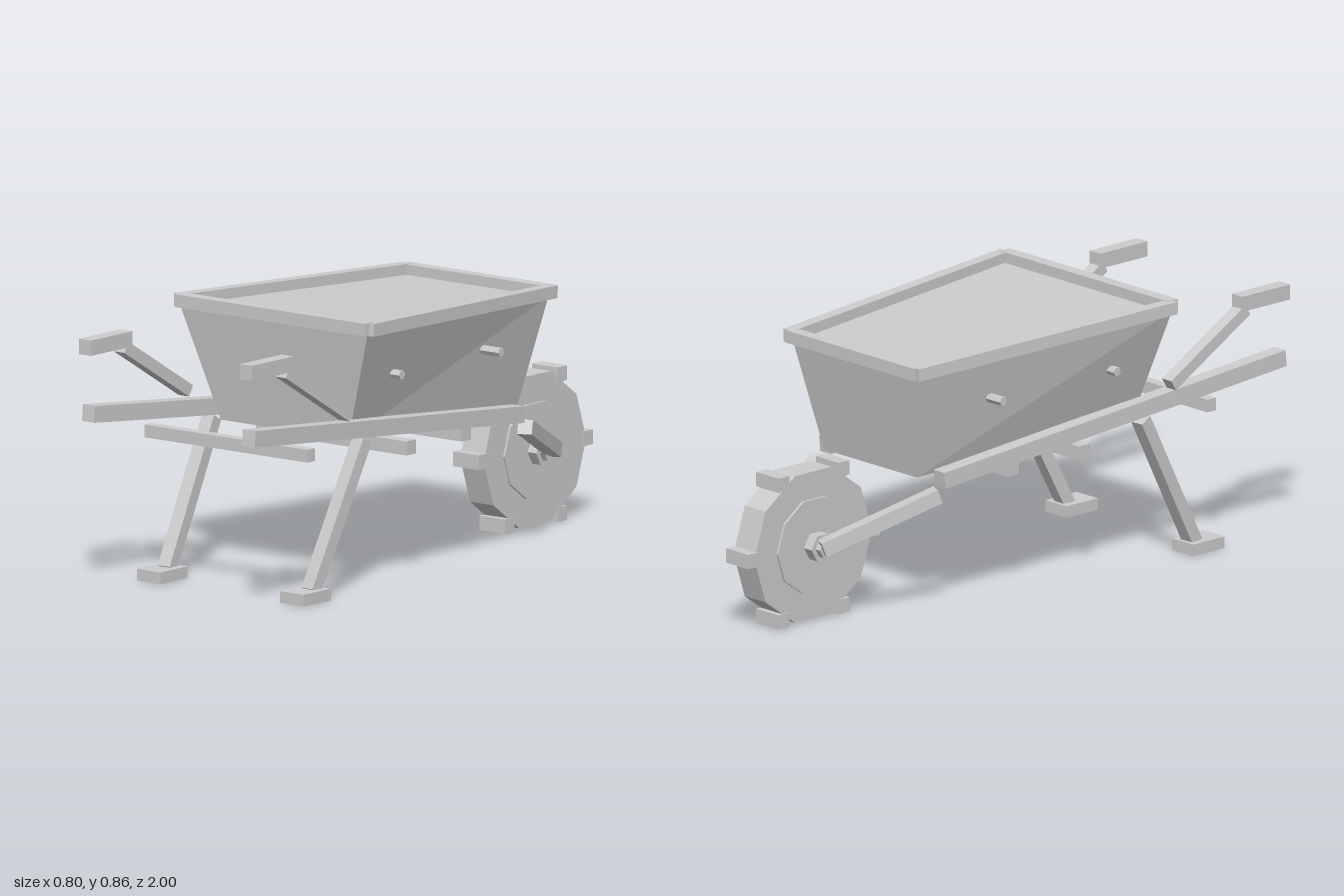
import * as THREE from 'three';

export function createModel() {
  const model = new THREE.Group();
  model.name = 'wheelbarrow';
  const wood = new THREE.MeshStandardMaterial({ color: 0xcccccc, flatShading: true });
  wood.name = 'pale grey';

  const add = (name, geometry, parent = model) => {
    const mesh = new THREE.Mesh(geometry, wood);
    mesh.name = name;
    parent.add(mesh);
    return mesh;
  };
  const box = (name, w, h, d, x, y, z, parent) => {
    const mesh = add(name, new THREE.BoxGeometry(w, h, d), parent);
    mesh.position.set(x, y, z);
    return mesh;
  };
  // Square-cut beam running between two points
  const beam = (name, a, b, w, h) => {
    const from = new THREE.Vector3(...a), to = new THREE.Vector3(...b);
    const mesh = add(name, new THREE.BoxGeometry(w, h, from.distanceTo(to)));
    mesh.position.copy(from).lerp(to, 0.5);
    mesh.lookAt(to);
    return mesh;
  };
  // Prism lying along x, with a corner pointing along z
  const prism = (name, radius, length, sides, parent = model) => {
    const g = new THREE.CylinderGeometry(radius, radius, length, sides);
    g.rotateZ(Math.PI / 2);
    return add(name, g, parent);
  };

  // Tray: a box tapered toward the bottom and toward the wheel
  const tray = new THREE.BoxGeometry(2, 2, 2);
  const p = tray.attributes.position;
  for (let i = 0; i < p.count; i++) {
    const top = p.getY(i) > 0, back = p.getZ(i) > 0;
    const half = top ? (back ? 0.375 : 0.285) : (back ? 0.255 : 0.21);
    const y = top ? (back ? 0.827 : 0.788) : (back ? 0.472 : 0.438);
    const z = top ? (back ? 0.478 : -0.503) : (back ? 0.425 : -0.44);
    p.setXYZ(i, Math.sign(p.getX(i)) * half, y, z);
  }
  tray.computeVertexNormals();
  add('tray', tray);

  // Rim ends
  box('rimBack', 0.76, 0.04, 0.042, 0, 0.84, 0.476);
  box('rimFront', 0.58, 0.04, 0.04, 0, 0.801, -0.508);

  // Cross slats
  box('rearSlat', 0.65, 0.04, 0.036, 0, 0.47, 0.69);
  box('middleSlat', 0.6, 0.044, 0.046, 0, 0.416, 0.178);
  box('frontSlat', 0.57, 0.044, 0.046, 0, 0.416, -0.106);

  // Dowels through the tray walls
  for (const z of [0.275, -0.203]) {
    prism('dowel', 0.015, 0.69, 6).position.set(0, 0.663, z);
  }

  // Mirrored frame parts
  for (const s of [1, -1]) {
    beam('rimSide', [s * 0.379, 0.839, 0.479], [s * 0.286, 0.801, -0.52], 0.04, 0.04);
    beam('rail', [s * 0.32, 0.566, 0.985], [s * 0.258, 0.433, -0.39], 0.05, 0.052);
    box('handleGrip', 0.048, 0.048, 0.2, s * 0.322, 0.775, 0.9);
    beam('handleArm', [s * 0.322, 0.752, 0.825], [s * 0.32, 0.57, 0.515], 0.042, 0.038);
    beam('leg', [s * 0.3, 0.475, 0.415], [s * 0.287, 0.035, 0.645], 0.046, 0.042);
    box('foot', 0.094, 0.037, 0.132, s * 0.286, 0.023, 0.67);
    beam('wheelStrut', [s * 0.27, 0.39, -0.408], [s * 0.108, 0.25, -0.745], 0.046, 0.046);
  }

  // Wheel with hub discs and tread blocks
  const wheel = new THREE.Group();
  wheel.name = 'wheel';
  wheel.position.set(0, 0.245, -0.725);
  model.add(wheel);
  prism('tyre', 0.247, 0.094, 10, wheel);
  prism('hubDisc', 0.155, 0.11, 10, wheel);
  prism('hubNut', 0.046, 0.18, 6, wheel);
  prism('axle', 0.03, 0.22, 6, wheel);
  for (let i = 0; i < 6; i++) {
    const a = i * Math.PI / 3;
    box('treadBlock', 0.102, 0.046, 0.046, 0, Math.sin(a) * 0.253, Math.cos(a) * 0.253, wheel);
  }
  return model;
}
